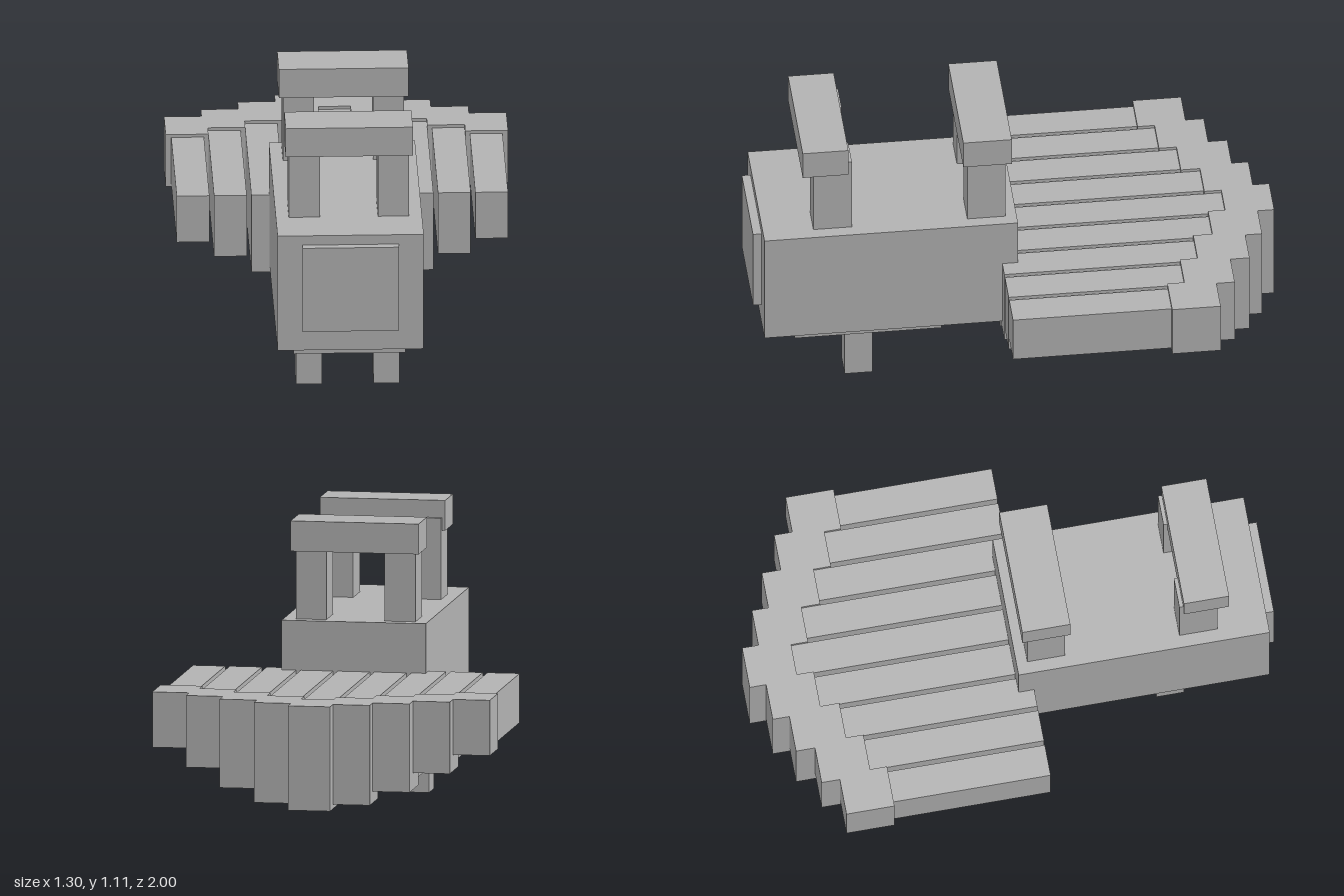
import * as THREE from 'three';

export function createModel() {
  const model = new THREE.Group();
  const grey = new THREE.MeshStandardMaterial({ color: 0xb2b2b2 });
  grey.name = 'plain grey';

  // Adds a box given its extents along each axis
  function box(name, [x0, x1], [y0, y1], [z0, z1]) {
    const mesh = new THREE.Mesh(new THREE.BoxGeometry(x1 - x0, y1 - y0, z1 - z0), grey);
    mesh.position.set((x0 + x1) / 2, (y0 + y1) / 2, (z0 + z1) / 2);
    mesh.name = name;
    model.add(mesh);
  }
  // Adds a box and its mirror image across x = 0
  function pair(name, [x0, x1], y, z) {
    box(name + 'Left', [x0, x1], y, z);
    box(name + 'Right', [-x1, -x0], y, z);
  }

  // Body, front panel, belly plate and legs
  box('body', [-0.277, 0.277], [0.262, 0.728], [0, 0.967]);
  box('frontPanel', [-0.183, 0.183], [0.35, 0.69], [0.967, 1]);
  box('bellyPlate', [-0.212, 0.212], [0.2, 0.262], [0.285, 0.845]);
  pair('leg', [0.098, 0.196], [0, 0.2], [0.545, 0.652]);

  // Two arches on top: posts with a crossbar
  pair('frontPost', [0.11, 0.228], [0.728, 1.04], [0.628, 0.775]);
  box('frontCrossbar', [-0.241, 0.241], [0.99, 1.106], [0.643, 0.817]);
  pair('rearPost', [0.112, 0.23], [0.728, 1.04], [0.042, 0.188]);
  box('rearCrossbar', [-0.246, 0.246], [0.99, 1.106], [0.02, 0.205]);

  // Fanned tail: long slats, each capped by a taller end block, from centre outward
  const tail = [
    { slatBottom: 0.16, blockBottom: 0.15, front: -0.815, back: -1 },
    { slatBottom: 0.182, blockBottom: 0.167, front: -0.75, back: -0.937 },
    { slatBottom: 0.225, blockBottom: 0.211, front: -0.677, back: -0.873 },
    { slatBottom: 0.29, blockBottom: 0.275, front: -0.61, back: -0.8 },
    { slatBottom: 0.35, blockBottom: 0.338, front: -0.545, back: -0.73 },
  ];
  tail.forEach((t, i) => {
    const slatX = i * 0.1415, blockX = i * 0.142;
    const add = i === 0 ? box : pair;
    add('tailSlat' + i, [slatX - 0.062, slatX + 0.062], [t.slatBottom, 0.538], [t.front - 0.03, 0.06]);
    add('tailBlock' + i, [blockX - 0.081, blockX + 0.081], [t.blockBottom, 0.55], [t.back, t.front]);
  });

  return model;
}
